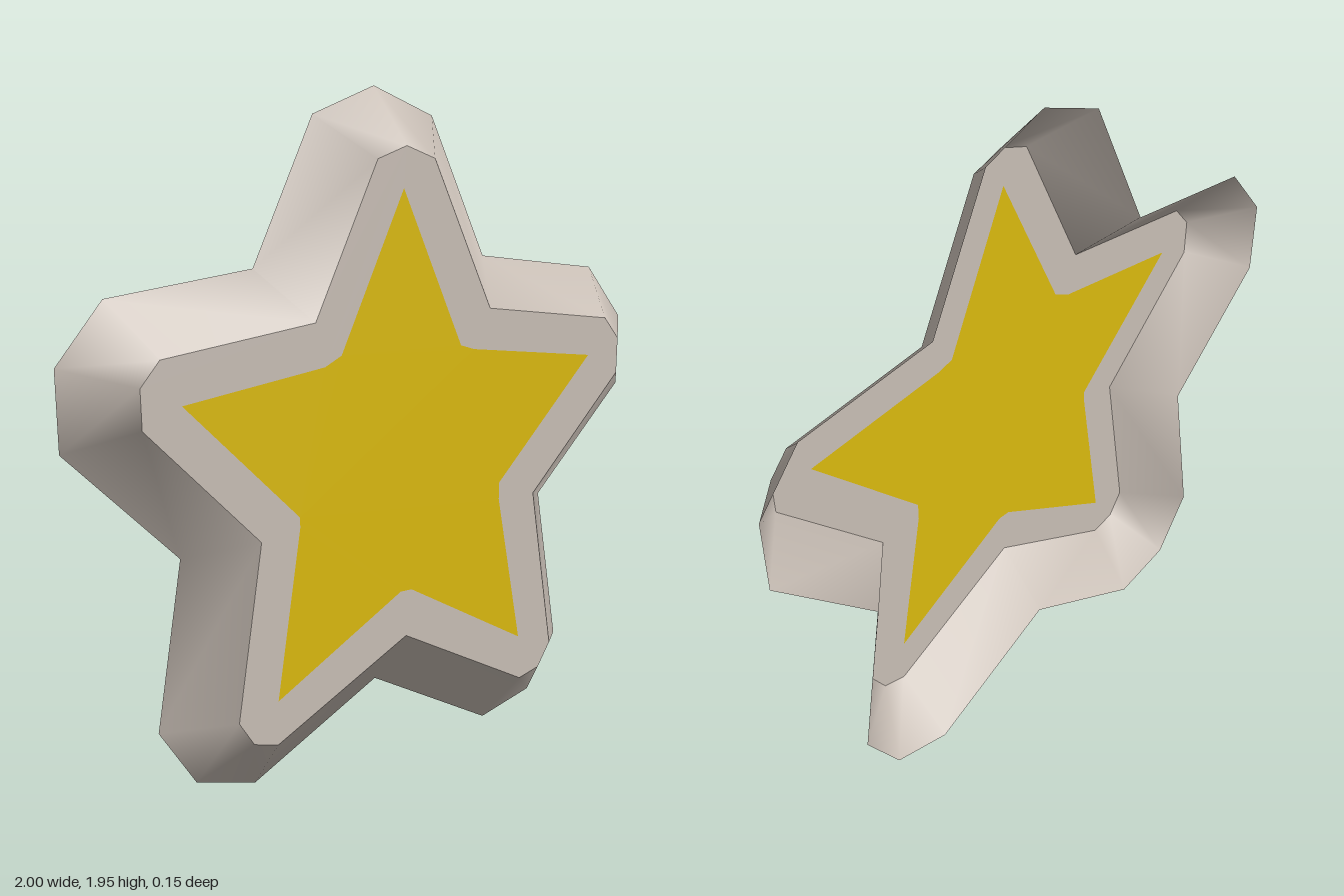
import * as THREE from 'three';

const BACK = -0.075, FRONT = 0.075;

// Right half of each outline, clockwise from the top tip to the bottom notch
const rimHalf = [[0, 1.95], [0.21, 1.87], [0.41, 1.46], [0.86, 1.405], [1, 1.24], [0.995, 1.02],
  [0.655, 0.695], [0.735, 0.22], [0.62, 0.05], [0.43, 0], [0, 0.22]];
const faceHalf = [[0, 1.785], [0.1, 1.75], [0.31, 1.32], [0.785, 1.26], [0.843, 1.193], [0.84, 1.085],
  [0.492, 0.745], [0.572, 0.255], [0.525, 0.185], [0.448, 0.165], [0, 0.39]];

// Slightly uneven painted star
const starOutline = [[-0.01, 1.67], [0.2, 1.22], [0.25, 1.205], [0.715, 1.15], [0.353, 0.795], [0.353, 0.745],
  [0.44, 0.3], [0.02, 0.525], [-0.02, 0.525], [-0.445, 0.29], [-0.367, 0.765], [-0.367, 0.795],
  [-0.725, 1.137], [-0.28, 1.198], [-0.225, 1.225]];

function mirrorOutline(half) {
  return [...half, ...half.slice(1, -1).reverse().map(([x, y]) => [-x, y])];
}

const toVectors = (pts) => pts.map(([x, y]) => new THREE.Vector2(x, y));

// Sloped wall joining two outlines, with smooth normals round the loop
function wallGeometry(outer, inner) {
  const positions = [], index = [], n = outer.length;
  for (let i = 0; i < n; i++) {
    positions.push(...outer[i], BACK, ...inner[i], FRONT);
    const a = 2 * i, b = a + 1, c = 2 * ((i + 1) % n), d = c + 1;
    index.push(a, b, d, a, d, c);
  }
  const geometry = new THREE.BufferGeometry();
  geometry.setAttribute('position', new THREE.Float32BufferAttribute(positions, 3));
  geometry.setIndex(index);
  geometry.computeVertexNormals();
  return geometry;
}

export function createModel() {
  const stone = new THREE.MeshStandardMaterial({ color: 0xc8beb5, side: THREE.DoubleSide });
  stone.name = 'warm grey';
  const gold = new THREE.MeshStandardMaterial({ color: 0xdab90e, side: THREE.DoubleSide });
  gold.name = 'golden yellow';

  const group = new THREE.Group();
  group.name = 'starBadge';
  const add = (name, geometry, material, z = 0) => {
    const mesh = new THREE.Mesh(geometry, material);
    mesh.name = name;
    mesh.position.z = z;
    group.add(mesh);
  };

  const rim = mirrorOutline(rimHalf), face = mirrorOutline(faceHalf);

  // Bevelled side wall, open at the back
  add('bevelledWall', wallGeometry(rim, face), stone);

  // Front border with a star-shaped opening
  const border = new THREE.Shape(toVectors(face));
  border.holes.push(new THREE.Path(toVectors(starOutline)));
  add('frontBorder', new THREE.ShapeGeometry(border), stone, FRONT);

  // Yellow star filling the opening, visible from both sides
  add('yellowStar', new THREE.ShapeGeometry(new THREE.Shape(toVectors(starOutline))), gold, FRONT);

  return group;
}
